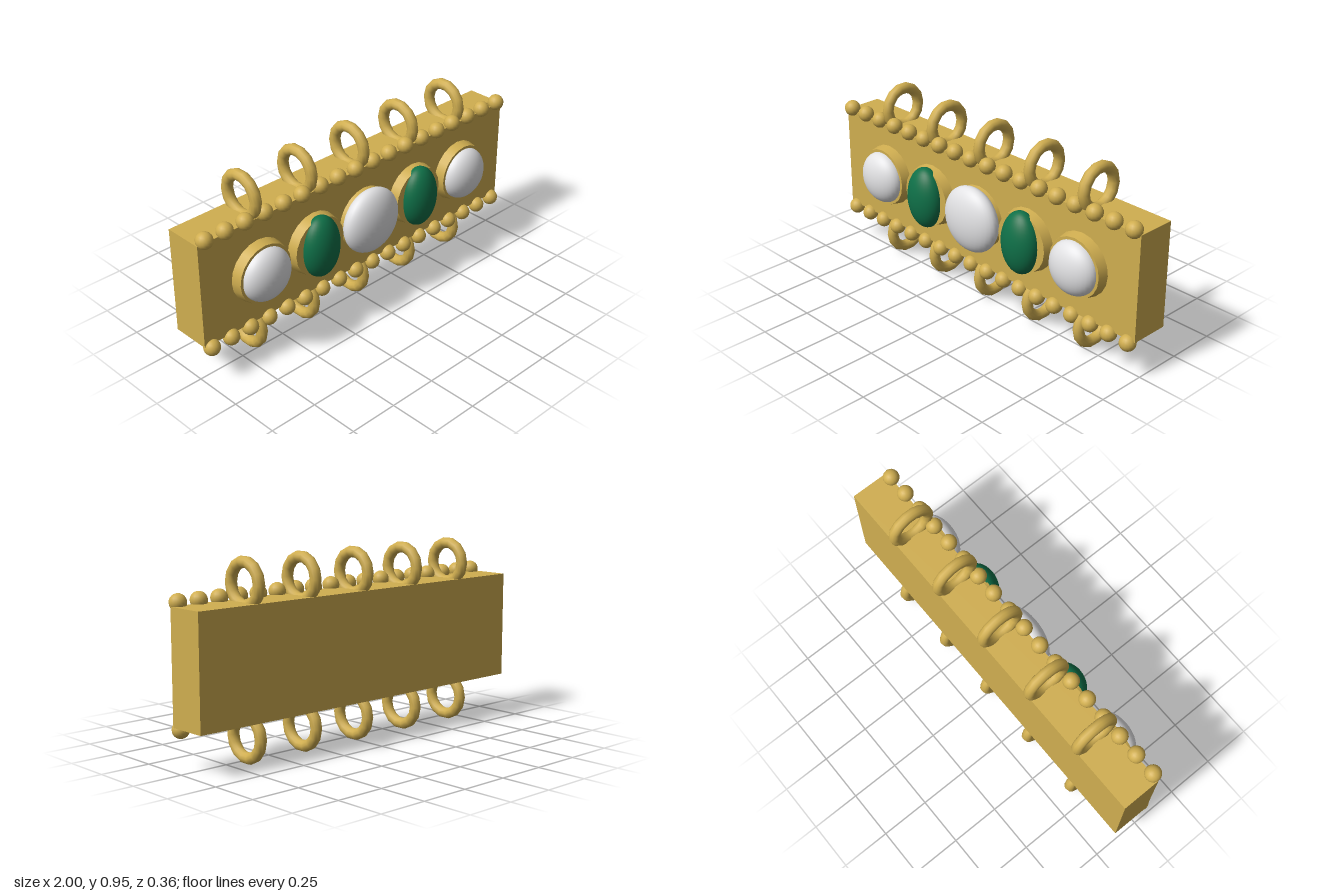
import * as THREE from 'three';

export function createModel() {
  const model = new THREE.Group();
  model.name = 'jewelledClasp';

  const material = (name, color) => {
    const m = new THREE.MeshStandardMaterial({ color });
    m.name = name;
    return m;
  };
  const gold = material('gold', 0xd0ae50);
  const pearl = material('pearl white', 0xe2e2e4);
  const emerald = material('emerald green', 0x0f7048);

  const add = (name, geometry, mat, x, y, z) => {
    const mesh = new THREE.Mesh(geometry, mat);
    mesh.name = name;
    mesh.position.set(x, y, z);
    model.add(mesh);
    return mesh;
  };

  const midY = 0.48;

  // Plain bar
  add('bar', new THREE.BoxGeometry(2, 0.54, 0.2), gold, 0, midY, -0.05);

  // Beaded borders along the front edges
  const bead = new THREE.SphereGeometry(0.041, 16, 12);
  for (const side of [1, -1]) {
    for (let i = 0; i < 18; i++) {
      add('bead', bead, gold, -0.96 + (i * 1.92) / 17, midY + side * 0.285, 0.05);
    }
  }

  // Stones in tapered settings, with a loop above and below each
  const setting = new THREE.CylinderGeometry(0.15, 0.16, 0.05, 20).rotateX(Math.PI / 2);
  const dome = new THREE.SphereGeometry(1, 32, 24);
  const loop = new THREE.TorusGeometry(0.1, 0.028, 12, 14).rotateY(Math.PI / 2);
  const stones = [
    ['pearl', pearl, 0.135, 0.135],
    ['emerald', emerald, 0.107, 0.162],
    ['centrePearl', pearl, 0.17, 0.17],
    ['emerald', emerald, 0.107, 0.162],
    ['pearl', pearl, 0.135, 0.135],
  ];
  stones.forEach(([name, mat, rx, ry], i) => {
    const x = (i - 2) / 3;
    add('setting', setting, gold, x, midY, 0.075);
    add(name, dome, mat, x, midY, 0.1).scale.set(rx, ry, 0.08);
    add('upperLoop', loop, gold, x, midY + 0.35, -0.05);
    add('lowerLoop', loop, gold, x, midY - 0.35, -0.05);
  });

  return model;
}
